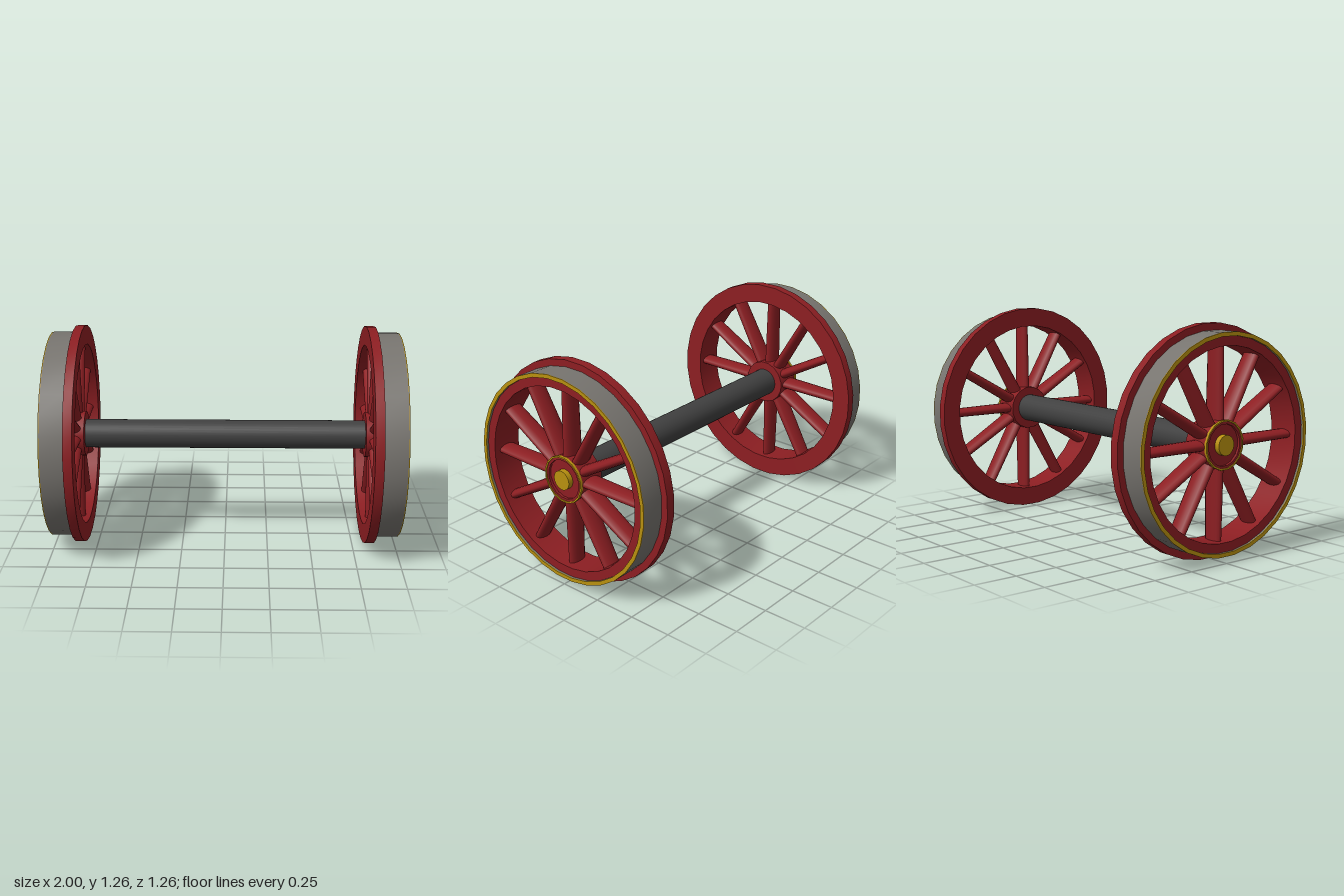
import * as THREE from 'three';
import { toCreasedNormals } from 'three/addons/utils/BufferGeometryUtils.js';

const CENTRE_Y = 0.632;
const mat = (color) => new THREE.MeshStandardMaterial({ color });

// Revolve a counter-clockwise [radius, x] outline around the x axis, closing it into a ring
function ring(name, outline, sides, material) {
  const pts = [...outline, outline[0]].map(([r, x]) => new THREE.Vector2(r, x));
  const geo = new THREE.LatheGeometry(pts, sides, Math.PI / sides);
  geo.rotateZ(-Math.PI / 2);
  const mesh = new THREE.Mesh(toCreasedNormals(geo, Math.PI / 5), material);
  mesh.name = name;
  return mesh;
}

// Solid disc or rod along x between two positions
function rod(name, radius, x0, x1, sides, material) {
  const geo = new THREE.CylinderGeometry(radius, radius, x1 - x0, sides);
  geo.rotateZ(-Math.PI / 2).translate((x0 + x1) / 2, 0, 0);
  const mesh = new THREE.Mesh(geo, material);
  mesh.name = name;
  return mesh;
}

function makeWheel(red, gold, steel) {
  const wheel = new THREE.Group();

  // Rim with its wide inner flange
  wheel.add(ring('flangedRim', [
    [0.523, 0.81], [0.634, 0.81], [0.634, 0.862], [0.575, 0.862], [0.575, 0.985], [0.523, 0.985],
  ], 32, red));
  // Running surface and the painted line on its outer edge
  wheel.add(ring('tyre', [[0.574, 0.86], [0.596, 0.86], [0.596, 0.995], [0.574, 0.995]], 32, steel));
  wheel.add(ring('rimStripe', [[0.574, 0.995], [0.596, 0.995], [0.596, 1], [0.574, 1]], 32, gold));

  // Hub with a shallow dish, a trim ring and a cap
  wheel.add(ring('hub', [
    [0.03, 0.815], [0.132, 0.815], [0.132, 0.97], [0.112, 0.97], [0.112, 0.955], [0.03, 0.955],
  ], 16, red));
  wheel.add(ring('hubStripe', [[0.126, 0.96], [0.135, 0.96], [0.135, 0.975], [0.126, 0.975]], 16, gold));
  wheel.add(rod('hubCap', 0.055, 0.94, 0.985, 32, gold));

  // Twelve oval spokes, slightly tapered towards the rim
  const spoke = new THREE.CylinderGeometry(0.026, 0.03, 0.43, 16, 1, true);
  spoke.scale(2.1, 1, 1).translate(0.895, 0.325, 0);
  for (let i = 0; i < 12; i++) {
    const mesh = new THREE.Mesh(spoke, red);
    mesh.name = 'spoke';
    mesh.rotation.x = (i * Math.PI) / 6;
    wheel.add(mesh);
  }
  return wheel;
}

export function createModel() {
  const red = mat(0x8c1e22), gold = mat(0xb8900f), steel = mat(0x77746f), dark = mat(0x404040);
  const model = new THREE.Group();
  model.name = 'wheelset';

  model.add(rod('axle', 0.083, -0.82, 0.82, 32, dark));

  const left = makeWheel(red, gold, steel);
  left.name = 'leftWheel';
  const right = makeWheel(red, gold, steel);
  right.name = 'rightWheel';
  right.rotation.y = Math.PI;
  model.add(left, right);

  for (const part of model.children) part.position.y = CENTRE_Y;
  return model;
}
